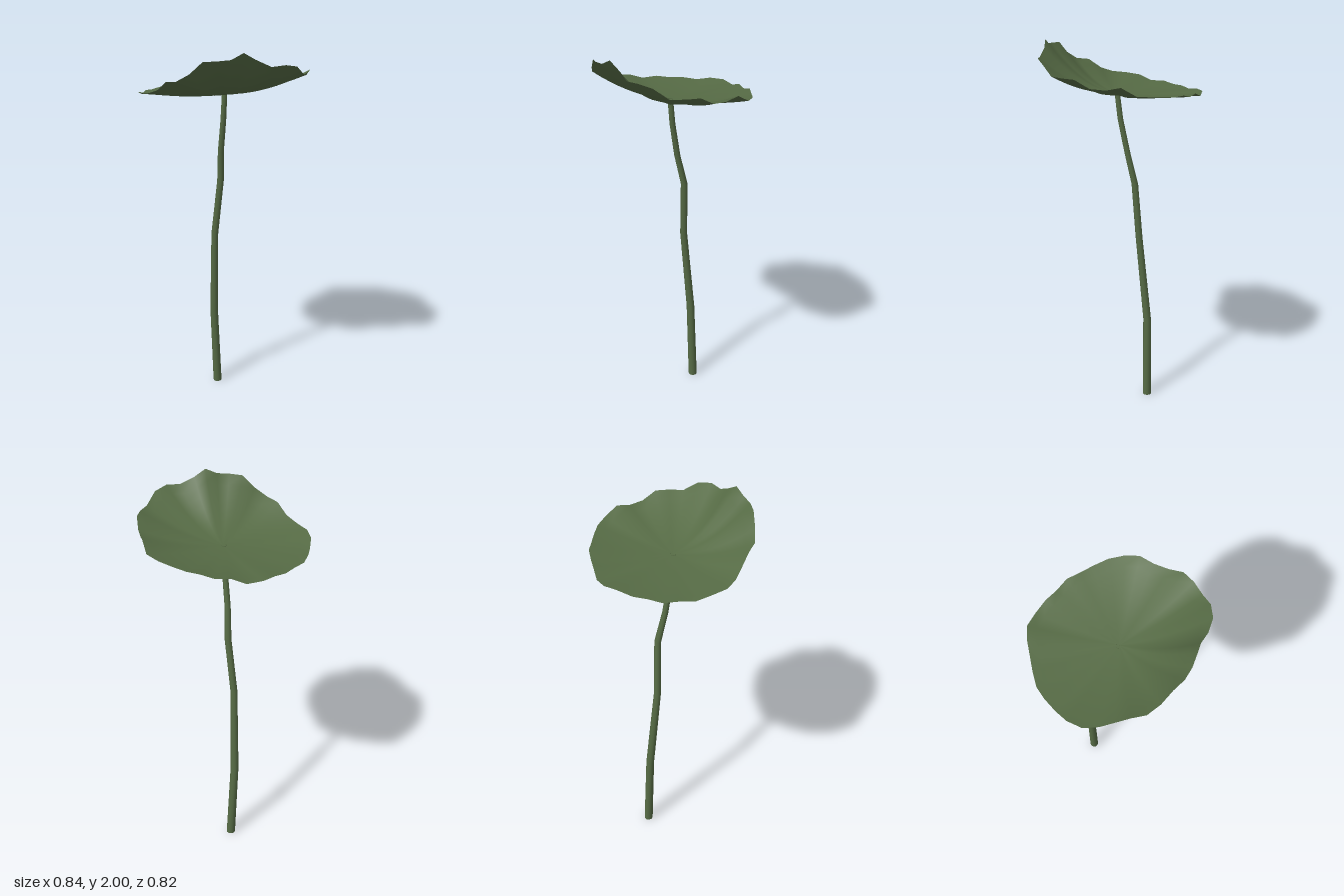
import * as THREE from 'three';

// Joins closed rings of points into one smooth surface
function loft(rings) {
  const n = rings[0].length, index = [];
  for (let i = 0; i < rings.length - 1; i++) {
    for (let j = 0; j < n; j++) {
      const k = (j + 1) % n;
      const a = i * n + j, b = i * n + k, c = a + n, d = b + n;
      index.push(a, d, c, a, b, d);
    }
  }
  const g = new THREE.BufferGeometry();
  g.setAttribute('position', new THREE.Float32BufferAttribute(rings.flat(2), 3));
  g.setIndex(index);
  g.computeVertexNormals();
  return g;
}

// Wavy leaf edge: x, height, z
const RIM = [
  [0.08, 1.80, -0.413], [0.145, 1.84, -0.38], [0.205, 1.825, -0.34], [0.27, 1.83, -0.30],
  [0.33, 1.87, -0.255], [0.37, 1.87, -0.20], [0.40, 1.87, -0.13], [0.42, 1.92, -0.055],
  [0.417, 1.935, 0.02], [0.385, 1.93, 0.085], [0.34, 1.965, 0.145], [0.315, 2.0, 0.20],
  [0.285, 1.97, 0.255], [0.245, 1.965, 0.305], [0.19, 1.96, 0.345], [0.135, 1.90, 0.38],
  [0.07, 1.86, 0.408], [0, 1.85, 0.41], [-0.07, 1.80, 0.405], [-0.14, 1.775, 0.408],
  [-0.215, 1.765, 0.40], [-0.28, 1.755, 0.355], [-0.325, 1.73, 0.295], [-0.37, 1.735, 0.23],
  [-0.40, 1.725, 0.165], [-0.41, 1.73, 0.09], [-0.415, 1.725, 0.015], [-0.42, 1.74, -0.06],
  [-0.415, 1.74, -0.135], [-0.37, 1.73, -0.20], [-0.315, 1.755, -0.25], [-0.26, 1.75, -0.295],
  [-0.205, 1.77, -0.34], [-0.14, 1.77, -0.365], [-0.07, 1.78, -0.39], [0, 1.79, -0.41],
];

// Stem centre line: x, y, z, radius
const STEM = [
  [-0.152, 0, -0.069, 0.024], [-0.157, 0.46, -0.049, 0.022], [-0.117, 0.94, -0.019, 0.019],
  [-0.084, 1.25, -0.032, 0.018], [-0.052, 1.42, -0.004, 0.016], [-0.018, 1.6, 0.01, 0.015],
  [-0.003, 1.736, 0.016, 0.014],
];

export function createModel() {
  const model = new THREE.Group();
  const leafGreen = new THREE.MeshStandardMaterial({ color: 0x566b45, side: THREE.DoubleSide });
  leafGreen.name = 'leafGreen';
  const add = (name, geometry) => {
    const mesh = new THREE.Mesh(geometry, leafGreen);
    mesh.name = name;
    model.add(mesh);
    return mesh;
  };

  // Shallow tilted bowl, ripples growing towards the rim
  const baseY = 1.735, steps = 9, rings = [];
  for (let i = 0; i <= steps; i++) {
    const t = Math.max(i / steps, 0.002);
    rings.push(RIM.map(([x, y, z]) => {
      const tilt = 0.09 * x;
      return [x * t, baseY + tilt * t + (y - baseY - tilt) * t * t, 0.012 + (z - 0.012) * t];
    }));
  }
  add('leaf', loft(rings));

  // Bent tapering stem
  const sides = 10;
  add('stem', loft(STEM.map(([x, y, z, r]) => Array.from({ length: sides }, (_, j) => {
    const a = (j / sides) * Math.PI * 2;
    return [x + r * Math.cos(a), y, z + r * Math.sin(a)];
  })).reverse()));

  // Cut end of the stem
  const [x, y, z, r] = STEM[0];
  const end = add('stemEnd', new THREE.CircleGeometry(r, sides));
  end.rotation.x = Math.PI / 2;
  end.position.set(x, y, z);

  return model;
}
